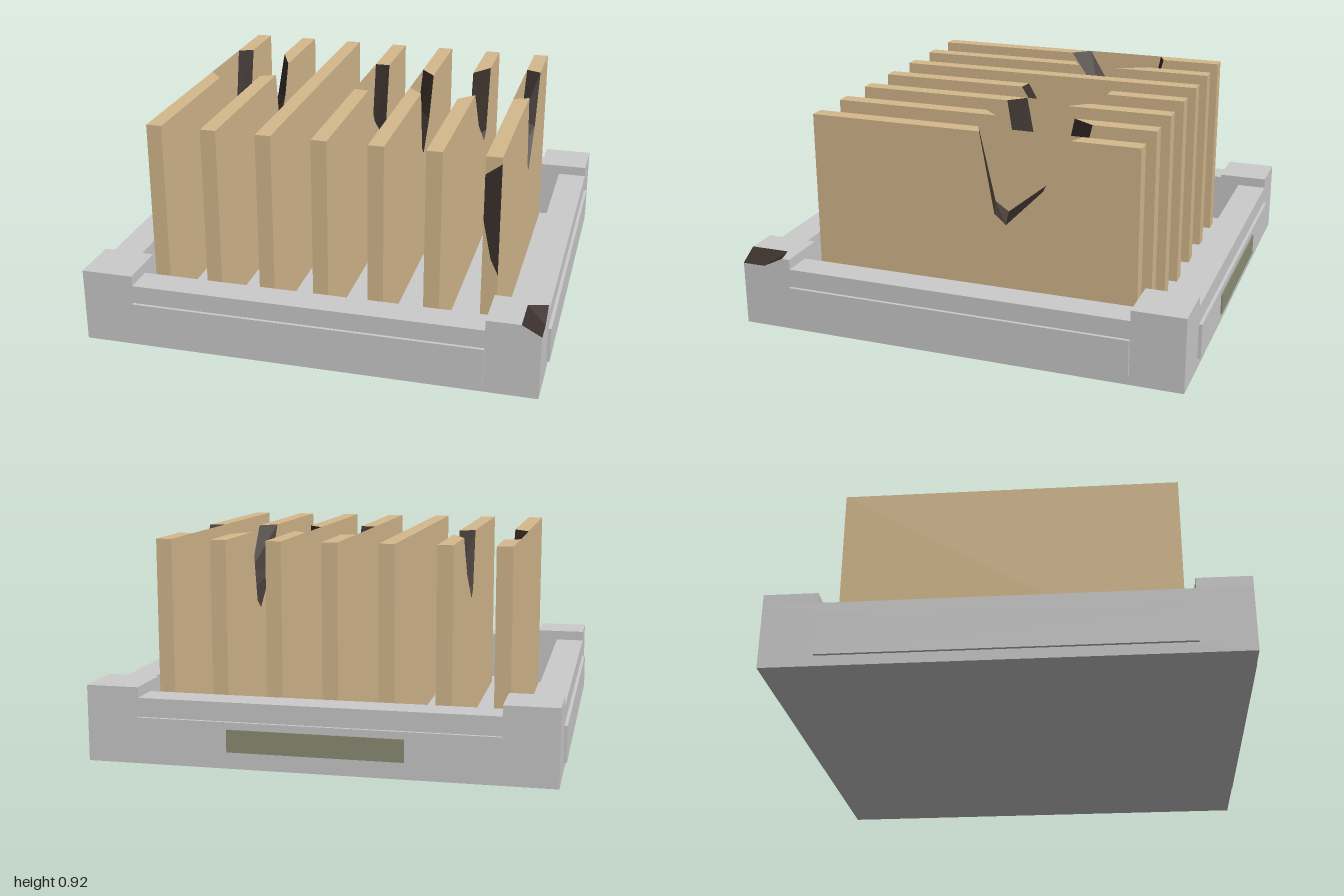
import * as THREE from 'three';
import { ConvexGeometry } from 'three/addons/geometries/ConvexGeometry.js';

const mat = (color) => new THREE.MeshStandardMaterial({ color, flatShading: true });
const V = (x, y, z) => new THREE.Vector3(x, y, z);

const OUT = 0.983, POST = 0.757, INNER = 0.85, RIM = 0.28, TOP = 0.325, FLOOR = 0.05;
const SLAT_TOP = 0.918, SLAT_Z = 0.725, SLAT_W = 0.068, SLAT_STEP = 0.2425;

function triangles(points) {
  const g = new THREE.BufferGeometry().setFromPoints(points);
  g.computeVertexNormals();
  return g;
}

// Slat outline with a broken notch: back and front lip of the notch, depth, flip
function slatOutline(x, notch) {
  const pts = [V(x, FLOOR, SLAT_Z), V(x, FLOOR, -SLAT_Z), V(x, SLAT_TOP, -SLAT_Z)];
  if (notch) {
    const [back, front, depth, flip] = notch;
    let steps = [[0, 0], [0.3, 0.58], [0.71, 1], [0.84, 0.89], [1, 0]];
    if (flip) steps = steps.map(([t, d]) => [1 - t, d]).reverse();
    for (const [t, d] of steps) pts.push(V(x, SLAT_TOP - d * depth, back + (front - back) * t));
  }
  pts.push(V(x, SLAT_TOP, SLAT_Z));
  return pts;
}

// Board lofted between its left and right outlines; the broken faces are kept apart.
// A backed board keeps a whole thin face on its far side behind the notch.
function slatGeometries(x, notchL, notchR, backed) {
  const xl = x - SLAT_W / 2;
  const L = slatOutline(xl, notchL), R = slatOutline(x + SLAT_W / 2, notchR);
  const far = backed ? slatOutline(xl, null) : L;
  const wood = [], broken = [];
  const caps = (o) => THREE.ShapeUtils.triangulateShape(o.map((p) => new THREE.Vector2(-p.z, p.y)), []);
  for (const [a, b, c] of caps(R)) wood.push(R[a], R[b], R[c]);
  for (const [a, b, c] of caps(far)) wood.push(far[a], far[c], far[b]);
  for (let i = 0; i < L.length; i++) {
    const j = (i + 1) % L.length;
    const list = notchL && i >= 3 && i <= 6 ? broken : wood;
    list.push(R[i], L[i], L[j], R[i], L[j], R[j]);
  }
  return [triangles(wood), broken.length ? triangles(broken) : null];
}

export function createModel() {
  const root = new THREE.Group(), model = new THREE.Group();
  model.name = 'slattedTray';
  model.position.z = 0.003;
  root.add(model);
  const stone = mat(0xcccccc), wood = mat(0xd5b98d), dark = mat(0x3a302b), olive = mat(0x8c8f76);
  wood.side = THREE.DoubleSide;
  const add = (name, geo, m, parent = model) => {
    const mesh = new THREE.Mesh(geo, m);
    mesh.name = name;
    parent.add(mesh);
    return mesh;
  };
  const box = (name, x0, x1, y0, y1, z0, z1, m) =>
    add(name, new THREE.BoxGeometry(x1 - x0, y1 - y0, z1 - z0), m)
      .position.set((x0 + x1) / 2, (y0 + y1) / 2, (z0 + z1) / 2);

  // Deep tray: rim with a cross-shaped opening that leaves the corners solid
  const rim = new THREE.Shape([[-OUT, -OUT], [OUT, -OUT], [OUT, OUT], [-OUT, OUT]].map((p) => new THREE.Vector2(...p)));
  const opening = [];
  for (let k = 0; k < 4; k++) {
    for (const [x, y] of [[INNER, -POST], [INNER, POST], [POST, POST]]) {
      opening.push(new THREE.Vector2(x, y).rotateAround(new THREE.Vector2(), k * Math.PI / 2));
    }
  }
  rim.holes.push(new THREE.Path(opening));
  add('rim', new THREE.ExtrudeGeometry(rim, { depth: RIM, bevelEnabled: false }).rotateX(-Math.PI / 2), stone);
  box('floor', -OUT, OUT, 0, FLOOR, -OUT, OUT, stone);

  // Raised corners
  for (const [sx, sz] of [[-1, -1], [-1, 1], [1, -1]]) {
    const x = sx * (POST + OUT) / 2, z = sz * (POST + OUT) / 2;
    box('cornerBlock', x - 0.113, x + 0.113, RIM, TOP, z - 0.113, z + 0.113, stone);
  }

  // Chipped front left corner: two sloped pieces meeting in a broken valley
  const p = V(0.9, TOP, 0.81), q = V(OUT, RIM, 0.88), r = V(OUT, TOP, 0.79);
  const s = V(0.9, TOP, OUT), t = V(OUT, RIM, OUT);
  const chipped = new THREE.Group();
  chipped.name = 'chippedCorner';
  model.add(chipped);
  add('chippedInner', new ConvexGeometry([
    V(POST, RIM, POST), V(POST, TOP, POST), V(POST, RIM, OUT), V(POST, TOP, OUT),
    V(0.9, TOP, POST), V(OUT, RIM, POST), s, t]), stone, chipped);
  add('chippedBack', new ConvexGeometry([
    V(POST, RIM, POST), V(POST, TOP, POST), V(OUT, RIM, POST), V(OUT, TOP, POST),
    V(POST, RIM, 0.8), V(POST, TOP, 0.8), p, q, r]), stone, chipped);
  add('brokenCorner', triangles([s, t, q, s, q, p, p, q, r]), dark, chipped).position.set(0.0005, 0.0005, 0.0005);

  // Raised panels on the four sides and a plate on the back
  for (const k of [-1, 1]) {
    const a = k * (OUT + 0.006);
    box('endPanel', -POST, POST, 0.045, 0.2, a - 0.008, a + 0.008, stone);
    box('sidePanel', a - 0.008, a + 0.008, 0.045, 0.2, -POST, POST, stone);
  }
  box('backPlate', -0.37, 0.37, 0.075, 0.17, -1.003, -0.99, olive);

  // Slats: notch on the left face, notch on the right face, left face kept whole
  const notches = [
    [[-0.42, -0.05, 0.32, true], [-0.45, 0.03, 0.36, true], true],
    [[-0.42, -0.045, 0.3, false], [-0.27, -0.08, 0.25, false], false],
    [null, null, false],
    [[-0.37, 0.03, 0.36, true], [-0.37, 0.04, 0.33, true], true],
    [[-0.34, -0.05, 0.28, false], [-0.26, 0.02, 0.32, false], true],
    [[-0.35, 0.05, 0.36, true], [-0.45, -0.02, 0.33, true], false],
    [[-0.465, -0.01, 0.36, false], [-0.435, -0.04, 0.395, false], true],
  ];
  notches.forEach(([left, right, backed], i) => {
    const slat = new THREE.Group();
    slat.name = 'slat' + (i + 1);
    model.add(slat);
    const [body, broken] = slatGeometries((i - 3) * SLAT_STEP, left, right, backed);
    add('board', body, wood, slat);
    if (broken) add('brokenEdge', broken, dark, slat);
  });

  // Splintered front edge of the last slat
  const x0 = 3 * SLAT_STEP - SLAT_W / 2, x1 = x0 + SLAT_W;
  const splinter = new THREE.Shape([[x0, 0.84], [x0, 0.64], [x0 + 0.035, 0.47], [x1, 0.4], [x1, 0.89]]
    .map((v) => new THREE.Vector2(...v)));
  add('splinteredEdge', new THREE.ShapeGeometry(splinter), dark).position.z = SLAT_Z + 0.001;

  return root;
}
